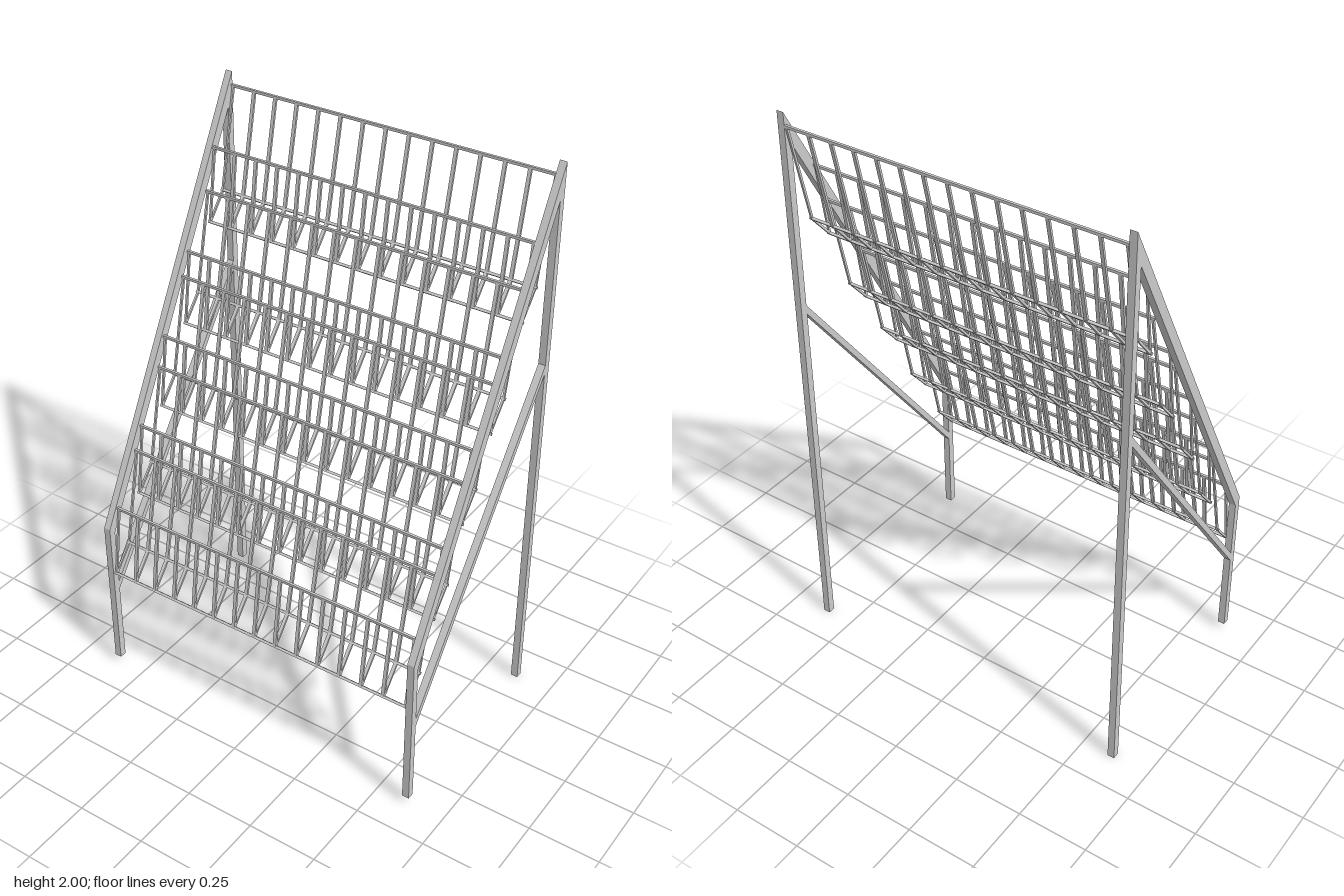
import * as THREE from 'three';

const material = new THREE.MeshStandardMaterial({ color: 0xcccccc });

const TUBE = 0.025;          // side frame tube width
const FRAME_X = 0.598;       // inner face of the side frames
const WIRES = 15;
const PITCH = 0.0845;
const WIRE_W = 0.012;
const END_WIRE_W = 0.007;    // slimmer wires beside the frames
const WIRE_T = 0.008;

// Bar cut from a side outline of [z, y] corners, TUBE thick across x
function sideBar(name, corners, x0) {
  const shape = new THREE.Shape(corners.map(([z, y]) => new THREE.Vector2(z, y)));
  const geometry = new THREE.ExtrudeGeometry(shape, { depth: TUBE, bevelEnabled: false });
  geometry.rotateY(-Math.PI / 2);
  geometry.translate(x0 + TUBE, 0, 0);
  const mesh = new THREE.Mesh(geometry, material);
  mesh.name = name;
  return mesh;
}

// Straight wire in a plane of constant x, from a to b ([z, y])
function wireSegment(a, b, x, width) {
  const dz = b[0] - a[0], dy = b[1] - a[1];
  const geometry = new THREE.BoxGeometry(width, Math.hypot(dz, dy) + WIRE_T * 0.6, WIRE_T);
  const mesh = new THREE.Mesh(geometry, material);
  mesh.position.set(x, (a[1] + b[1]) / 2, (a[0] + b[0]) / 2);
  mesh.rotation.x = Math.atan2(dz, dy);
  mesh.name = 'basketWire';
  return mesh;
}

function sideFrame(name, x0) {
  const frame = new THREE.Group();
  frame.name = name;
  frame.add(
    sideBar('rearPost', [[-0.382, 0], [-0.357, 0], [-0.357, 1.884], [-0.382, 2]], x0),
    sideBar('frontPost', [[0.357, 0.026], [0.382, 0.026], [0.382, 0.6], [0.357, 0.576]], x0),
    sideBar('slopedRail', [[0.357, 0.576], [0.382, 0.6], [-0.382, 2], [-0.357, 1.884]], x0),
    sideBar('diagonalBrace', [[0.357, 0.33], [0.357, 0.363], [-0.357, 1.313], [-0.357, 1.28]], x0)
  );
  return frame;
}

// Open wire basket whose back lower edge sits at (z, y)
function basket(z, y) {
  const group = new THREE.Group();
  group.name = 'wireBasket';
  const profile = [
    [z - 0.075, y + 0.345],  // back top
    [z, y],                  // back bottom
    [z + 0.075, y - 0.088],  // front bottom
    [z + 0.037, y + 0.168],  // front lip
  ];
  for (let i = 0; i < WIRES; i++) {
    const x = (i - (WIRES - 1) / 2) * PITCH;
    const width = i === 0 || i === WIRES - 1 ? END_WIRE_W : WIRE_W;
    for (let k = 0; k < 3; k++) group.add(wireSegment(profile[k], profile[k + 1], x, width));
  }
  // Cross bars; the two lower ones lie along the sloping basket floor
  profile.forEach(([bz, by], k) => {
    const bar = new THREE.Mesh(new THREE.BoxGeometry(FRAME_X * 2, 0.009, 0.009), material);
    bar.position.set(0, by, bz);
    bar.rotation.x = k === 1 || k === 2 ? 0.86 : 0;
    bar.name = 'basketCrossBar';
    group.add(bar);
  });
  return group;
}

export function createModel() {
  const model = new THREE.Group();
  model.name = 'displayRack';

  model.add(sideFrame('leftFrame', FRAME_X), sideFrame('rightFrame', -FRAME_X - TUBE));

  // Five stepped baskets, lowest first
  const steps = [[0.297, 0.498], [0.149, 0.756], [0.0, 1.035], [-0.148, 1.29], [-0.304, 1.608]];
  for (const [z, y] of steps) model.add(basket(z, y));

  return model;
}
